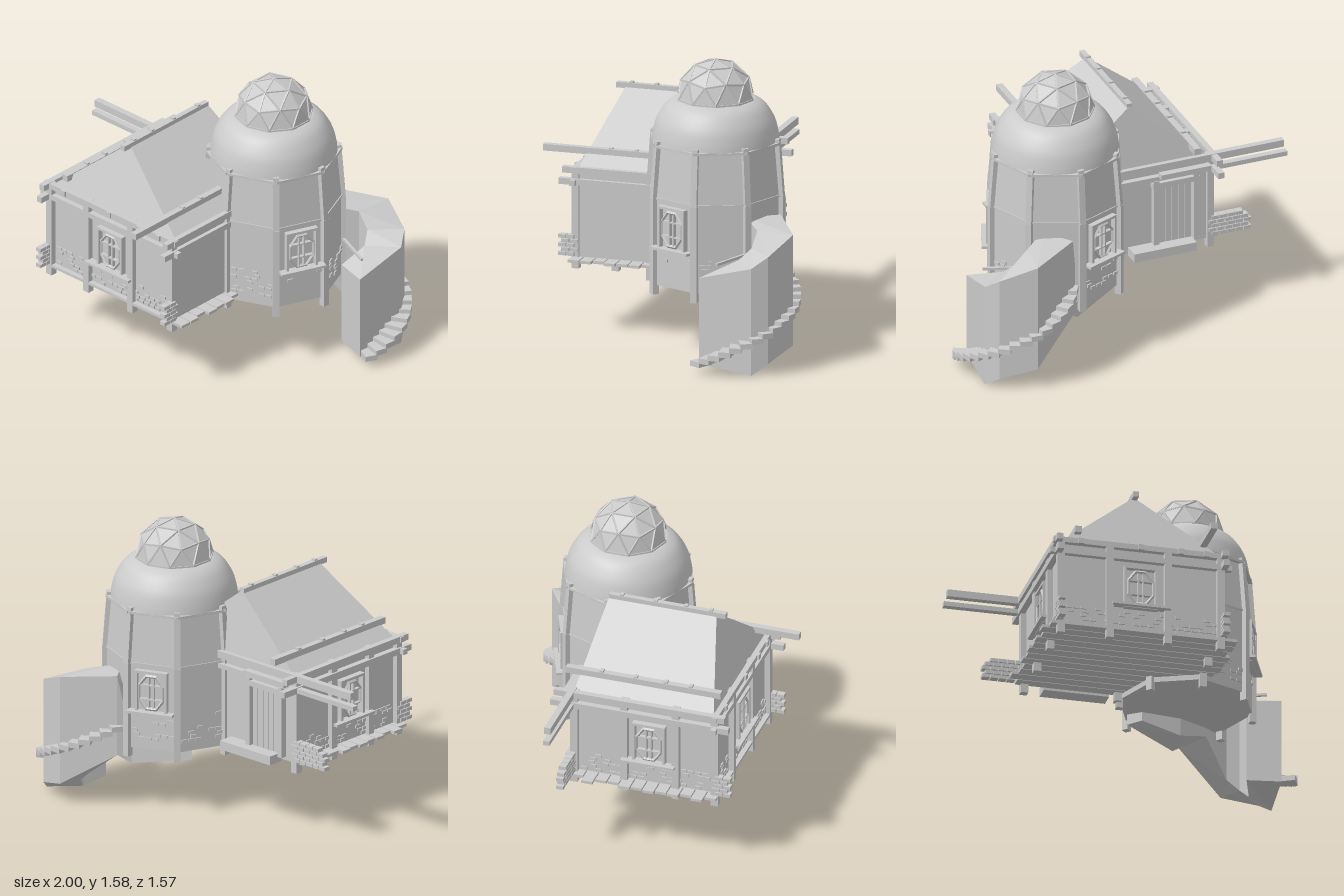
import * as THREE from 'three';
import { ConvexGeometry } from 'three/addons/geometries/ConvexGeometry.js';

const flat = new THREE.MeshStandardMaterial({ color: 0xcccccc, flatShading: true });
const thin = new THREE.MeshStandardMaterial({ color: 0xcccccc, flatShading: true, side: THREE.DoubleSide });
const smooth = new THREE.MeshStandardMaterial({ color: 0xcccccc, side: THREE.DoubleSide });
const V = (x, y, z) => new THREE.Vector3(x, y, z);

let seed = 7;
const rand = () => (seed = (seed * 16807) % 2147483647) / 2147483647;

function add(parent, name, geometry, material = flat) {
  const mesh = new THREE.Mesh(geometry, material);
  mesh.name = name;
  parent.add(mesh);
  return mesh;
}
function group(parent, name) {
  const g = new THREE.Group();
  g.name = name;
  parent.add(g);
  return g;
}
function box(parent, name, w, h, d, x, y, z) {
  const m = add(parent, name, new THREE.BoxGeometry(w, h, d));
  m.position.set(x, y, z);
  return m;
}
// Timber from a to b, both in the parent's own frame
function beam(parent, name, a, b, w, h = w) {
  const m = add(parent, name, new THREE.BoxGeometry(w, h, a.distanceTo(b)));
  m.position.copy(a).add(b).multiplyScalar(0.5);
  m.quaternion.setFromRotationMatrix(new THREE.Matrix4().lookAt(b, a, V(0, 1, 0)));
  return m;
}

// Window facing local +z, centred on the origin
function windowAt(parent, x, y, z, angle, sill) {
  const g = group(parent, 'window');
  g.position.set(x, y, z);
  g.rotation.y = angle;
  for (const s of [-1, 1]) {
    box(g, 'windowJamb', 0.014, 0.24, 0.04, s * 0.085, 0, 0);
    box(g, 'windowRail', 0.184, 0.014, 0.04, 0, s * 0.115, 0);
    box(g, 'windowMullion', 0.007, 0.19, 0.02, s * 0.014, 0, 0.004);
    box(g, 'windowBar', 0.14, 0.007, 0.02, 0, s * 0.04, 0.004);
  }
  const ring = new THREE.TorusGeometry(0.074, 0.008, 4, 8).rotateZ(Math.PI / 8).scale(1, 1.35, 1);
  add(g, 'windowArch', ring).position.z = 0.01;
  box(g, 'windowSill', sill, 0.014, 0.05, 0, -0.112, 0.02);
}

// Scattered stones on a wall running along local x, facing local +z
function stones(parent, x, y, z, angle, length, rows, density) {
  const g = group(parent, 'stonework');
  g.position.set(x, y, z);
  g.rotation.y = angle;
  const n = Math.floor(length / 0.04);
  for (let r = 0; r < rows; r++)
    for (let i = 0; i < n; i++)
      if (rand() < density * (1 - 0.6 * r / rows))
        box(g, 'stone', 0.032, 0.017, 0.014, (i + 0.5 + (r % 2) * 0.3 - n / 2) * 0.04, r * 0.022, 0);
}

function buildHouse(root) {
  const house = group(root, 'house');
  box(house, 'houseWalls', 0.88, 0.49, 0.78, -0.11, 0.655, 0.17);

  // Floor boards with ragged ends
  for (let i = 0; i < 12; i++) {
    const z = -0.19 + i * 0.068;
    const l = -0.61 - rand() * 0.05, r = z > 0.1 ? 0.37 + rand() * 0.06 : 0.3;
    box(house, 'floorBoard', r - l, 0.016, 0.062, (l + r) / 2, 0.407, z);
  }

  // Hipped roof with steep ends
  add(house, 'roof', new ConvexGeometry([
    V(-0.56, 0.89, 0.56), V(0.35, 0.89, 0.56), V(-0.56, 0.89, -0.23), V(0.35, 0.89, -0.23),
    V(-0.12, 1.26, 0.43), V(-0.12, 1.26, -0.17)]));
  beam(house, 'ridgeBeam', V(-0.12, 1.258, -0.17), V(-0.12, 1.258, 0.485), 0.03);
  beam(house, 'leftPurlin', V(0.235, 0.98, 0.1), V(0.235, 0.98, 0.78), 0.036);
  beam(house, 'rightPurlin', V(-0.46, 0.975, -0.3), V(-0.46, 0.975, 0.57), 0.036);
  for (const z of [-0.1, 0.09, 0.26, 0.4]) {
    box(house, 'ridgePeg', 0.025, 0.02, 0.02, -0.12, 1.272, z);
    box(house, 'purlinPeg', 0.03, 0.02, 0.02, -0.46, 0.993, z);
    if (z > 0.2) box(house, 'purlinPeg', 0.03, 0.02, 0.02, 0.235, 0.995, z);
  }

  // Posts under the eaves
  const posts = [[-0.56, 0.57], [-0.29, 0.57], [0.03, 0.57], [0.32, 0.57], [0.308, 0.35],
    [-0.56, 0.35], [-0.56, 0.06], [-0.56, -0.22], [-0.05, -0.2]];
  for (const [x, z] of posts) box(house, 'housePost', 0.04, 0.56, 0.04, x, 0.63, z);

  // Paired wall beams crossing at the corners
  for (const [y, e] of [[0.83, 0.02], [0.895, 0]]) {
    beam(house, 'frontBeam', V(-0.6 - e, y, 0.575), V(0.36 + e, y, 0.575), 0.03);
    beam(house, 'leftBeam', V(0.335, y, 0.08), V(0.335, y, 0.64 + e), 0.034);
    beam(house, 'rightBeam', V(-0.575, y, -0.33 - e), V(-0.575, y, 0.63 + e), 0.034);
    beam(house, 'longBackBeam', V(-0.98 - e, y, -0.235), V(0, y, -0.235), 0.036, e ? 0.026 : 0.04);
  }
  beam(house, 'backEaveBeam', V(-0.54, 0.86, -0.28), V(-0.25, 0.86, -0.28), 0.04, 0.03);
  for (const x of [-0.45, -0.12, 0.1, 0.24]) box(house, 'beamPeg', 0.03, 0.03, 0.04, x, 0.895, 0.58);

  windowAt(house, -0.12, 0.66, 0.57, 0, 0.32);
  windowAt(house, -0.565, 0.66, 0.2, -Math.PI / 2, 0.3);

  // Plank door at the back with a doorstep
  const door = group(house, 'door');
  for (let i = 0; i < 5; i++) box(door, 'doorPlank', 0.034, 0.34, 0.02, -0.43 + i * 0.038, 0.6, -0.228);
  for (const x of [-0.47, -0.24]) box(door, 'doorJamb', 0.03, 0.4, 0.045, x, 0.62, -0.235);
  box(door, 'doorLintel', 0.27, 0.03, 0.045, -0.355, 0.79, -0.235);
  box(door, 'doorStep', 0.36, 0.05, 0.09, -0.27, 0.41, -0.265);

  stones(house, -0.11, 0.43, 0.56, 0, 0.86, 5, 0.6);
  stones(house, -0.55, 0.43, 0.17, -Math.PI / 2, 0.74, 5, 0.6);

  // Brick stubs running out past the corners
  for (let r = 0; r < 5; r++) {
    const n = r < 4 ? 5 : 4;
    for (let i = 0; i < n; i++)
      box(house, 'cornerBrick', 0.042, 0.02, 0.04, -0.585 - i * 0.046 + (r % 2) * 0.016, 0.43 + r * 0.024, -0.23);
    for (const x of [-0.57, 0.335])
      for (let i = 0; i < 2; i++)
        box(house, 'cornerBrick', 0.035, 0.02, 0.042, x, 0.43 + r * 0.024, 0.595 + i * 0.046 - (r % 2) * 0.018);
  }
}

function buildTower(root) {
  const tower = group(root, 'tower');
  tower.position.set(0.33, 0, -0.215);
  const R = 0.367, T = 0.343;
  add(tower, 'towerLowerWall', new THREE.CylinderGeometry(R, R, 0.48, 8)).position.y = 0.61;
  add(tower, 'towerUpperWall', new THREE.CylinderGeometry(T, R, 0.29, 8)).position.y = 0.995;

  for (let i = 0; i < 8; i++) {
    const a = i * Math.PI / 4, b = a + Math.PI / 4, s = Math.sin(a), c = Math.cos(a);
    const p = (ang, r, y) => V(r * Math.sin(ang), y, r * Math.cos(ang));
    box(tower, 'towerPost', 0.036, 0.53, 0.036, R * s, 0.585, R * c).rotation.y = a;
    beam(tower, 'towerUpperPost', p(a, R, 0.845), p(a, T, 1.16), 0.034);
    beam(tower, 'towerTopRail', p(a, T + 0.015, 1.135), p(b, T + 0.015, 1.135), 0.02, 0.014);
    beam(tower, 'towerMiddleRail', p(a, R, 0.85), p(b, R, 0.85), 0.01);
    const m = a + Math.PI / 8, f = R * Math.cos(Math.PI / 8);
    stones(tower, f * Math.sin(m), 0.43, f * Math.cos(m), m, 0.24, 7, 0.35);
  }
  for (const a of [67.5, 202.5].map(THREE.MathUtils.degToRad))
    windowAt(tower, 0.35 * Math.sin(a), 0.7, 0.35 * Math.cos(a), a, 0.26);

  // Smooth dome
  const profile = [[0.342, 1.135], [0.335, 1.18], [0.319, 1.24], [0.292, 1.29], [0.262, 1.327],
    [0.225, 1.35], [0.18, 1.359], [0, 1.362]].map(([x, y]) => new THREE.Vector2(x, y));
  add(tower, 'dome', new THREE.LatheGeometry(new THREE.SplineCurve(profile).getPoints(24), 48), smooth);

  // Faceted cupola, one vertex pointing up, with struts on its edges
  const cupola = group(tower, 'cupola');
  cupola.position.y = 1.363;
  cupola.rotation.y = Math.PI / 2;
  const ball = new THREE.IcosahedronGeometry(0.208, 1);
  const tip = V(0, 1, (1 + Math.sqrt(5)) / 2).normalize();
  ball.applyQuaternion(new THREE.Quaternion().setFromUnitVectors(tip, V(0, 1, 0)));
  add(cupola, 'cupolaGlass', ball);
  const e = new THREE.EdgesGeometry(ball, 1).attributes.position;
  for (let i = 0; i < e.count; i += 2) {
    const a = V().fromBufferAttribute(e, i), b = V().fromBufferAttribute(e, i + 1);
    if (a.y > -0.01 && b.y > -0.01) beam(cupola, 'cupolaStrut', a, b, 0.009);
  }
}

function buildStair(root) {
  const stair = group(root, 'spiralStair');
  // Stations: inner x, z, outer x, z, bottom, top
  const stations = [
    [0.70, -0.35, 0.88, -0.3, 0.035, 0.51], [0.745, -0.48, 0.9, -0.6, 0.0, 0.59],
    [0.71, -0.54, 0.85, -0.68, 0.06, 0.65], [0.64, -0.55, 0.66, -0.757, 0.12, 0.73],
    [0.5, -0.44, 0.39, -0.6, 0.31, 0.76],
    [0.34, -0.36, 0.34, -0.54, 0.26, 0.4], [0.12, -0.33, 0.05, -0.38, 0.31, 0.4]];
  const rings = stations.map(([ix, iz, ox, oz, b, t]) =>
    [V(ix, b + 0.01, iz), V(ox, b, oz), V(ox, t, oz), V(ix, t, iz)]);
  const tris = [];
  const quad = (a, b, c, d) => tris.push(a, b, c, a, c, d);
  for (let i = 0; i < rings.length - 1; i++)
    for (let k = 0; k < 4; k++) {
      const n = (k + 1) % 4;
      quad(rings[i][k], rings[i + 1][k], rings[i + 1][n], rings[i][n]);
    }
  quad(...rings[0]);
  quad(...rings[rings.length - 1].slice().reverse());
  const core = new THREE.BufferGeometry().setFromPoints(tris);
  core.computeVertexNormals();
  add(stair, 'stairCore', core, thin);

  // Treads winding up around the core
  const count = 18;
  for (let i = 0; i < count; i++) {
    const t = i / (count - 1), a = THREE.MathUtils.degToRad(26 - 176 * t);
    const tread = box(stair, 'tread', 0.11, 0.03, 0.066,
      0.66 + 0.28 * Math.cos(a), 0.055 + 0.41 * t, -0.45 + 0.28 * Math.sin(a));
    tread.rotation.y = -a;
  }
  beam(stair, 'handrail', V(0.6, 0.58, -0.47), V(0.82, 0.575, -0.38), 0.014);
}

export function createModel() {
  const root = new THREE.Group();
  root.name = 'cottageWithTower';
  buildHouse(root);
  buildTower(root);
  buildStair(root);
  return root;
}
